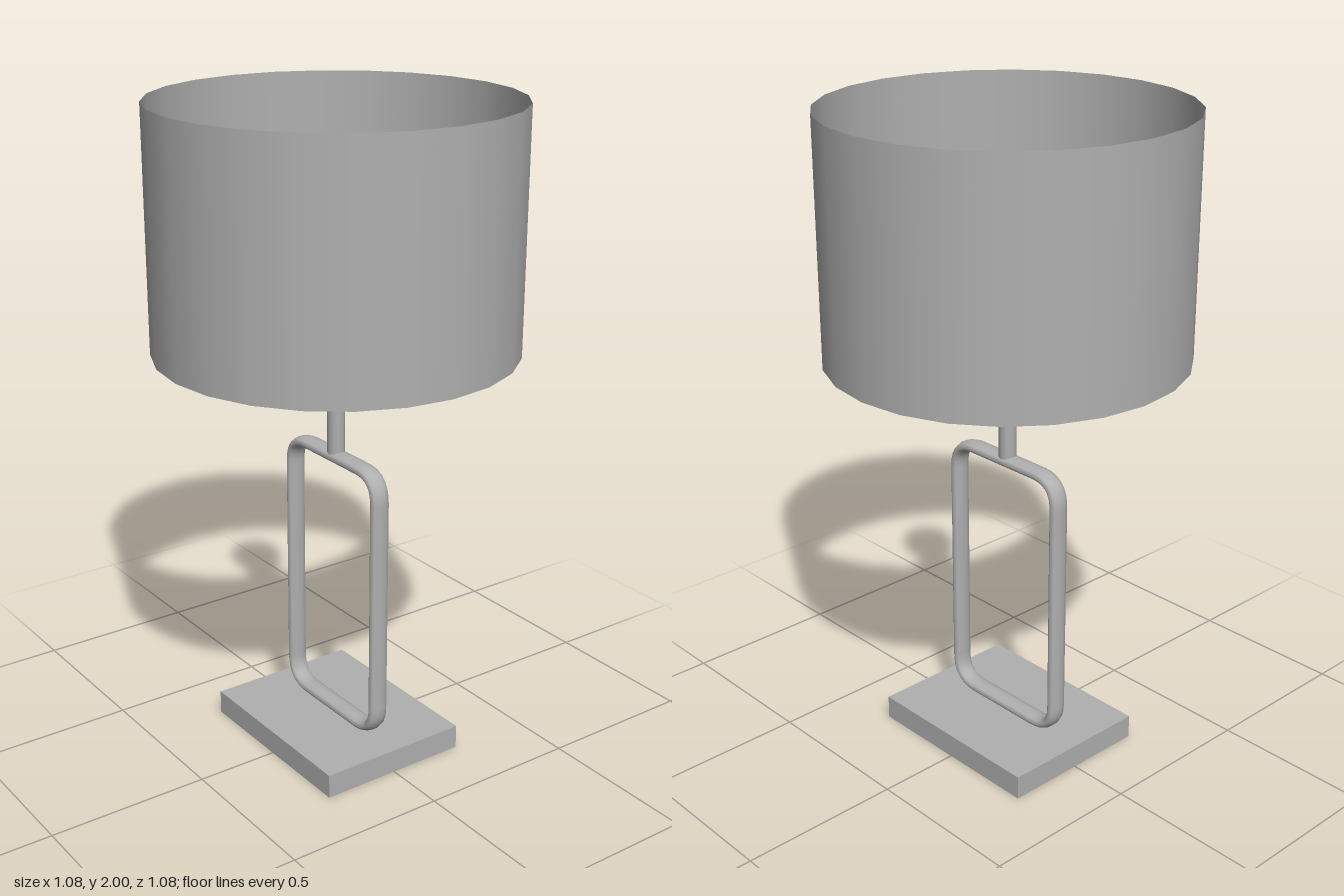
import * as THREE from 'three';

export function createModel() {
  const lamp = new THREE.Group();
  lamp.name = 'tableLamp';
  const grey = new THREE.MeshStandardMaterial({ color: 0xb0b0b0 });
  grey.name = 'plain grey';
  const greySheet = new THREE.MeshStandardMaterial({ color: 0xb0b0b0, side: THREE.DoubleSide });
  greySheet.name = 'plain grey sheet';

  const add = (name, geometry, y = 0, material = grey) => {
    const mesh = new THREE.Mesh(geometry, material);
    mesh.name = name;
    mesh.position.y = y;
    lamp.add(mesh);
    return mesh;
  };
  const lathe = (points, sides) =>
    new THREE.LatheGeometry(points.map(([r, y]) => new THREE.Vector2(r, y)), sides);

  // Rectangular foot
  add('base', new THREE.BoxGeometry(0.61, 0.075, 0.486), 0.0375);

  // Upright rounded loop, a flattened tube standing on the base
  const w = 0.217, h = 0.423, r = 0.085;
  const v = (x, y) => new THREE.Vector3(x, y, 0);
  const path = new THREE.CurvePath();
  // each corner: where the bend starts, its control point, where it ends
  const corners = [
    [v(w, h - r), v(w, h), v(w - r, h)],
    [v(r - w, h), v(-w, h), v(-w, h - r)],
    [v(-w, r - h), v(-w, -h), v(r - w, -h)],
    [v(w - r, -h), v(w, -h), v(w, r - h)],
  ];
  corners.forEach(([start, control, end], i) => {
    path.add(new THREE.QuadraticBezierCurve3(start, control, end));
    path.add(new THREE.LineCurve3(end, corners[(i + 1) % 4][0]));
  });
  const loop = new THREE.TubeGeometry(path, 120, 0.0175, 10, true);
  loop.scale(1, 1, 1.85);
  add('frameLoop', loop, 0.518);

  // Stem between loop and socket
  add('stem', new THREE.CylinderGeometry(0.027, 0.027, 0.21, 10), 1.055);

  // Bulb socket
  add('socket', lathe([
    [0, 1.15], [0.06, 1.15], [0.077, 1.175], [0.077, 1.37], [0.055, 1.42], [0, 1.42],
  ], 12));

  // Bulb, narrow at the neck and wider above
  add('bulb', lathe([
    [0.05, 1.41], [0.056, 1.45], [0.088, 1.56], [0.096, 1.61],
    [0.085, 1.66], [0.05, 1.695], [0, 1.705],
  ], 12));

  // Open drum shade
  add('shade', new THREE.CylinderGeometry(0.54, 0.54, 0.725, 24, 1, true), 1.6375, greySheet);

  return lamp;
}
